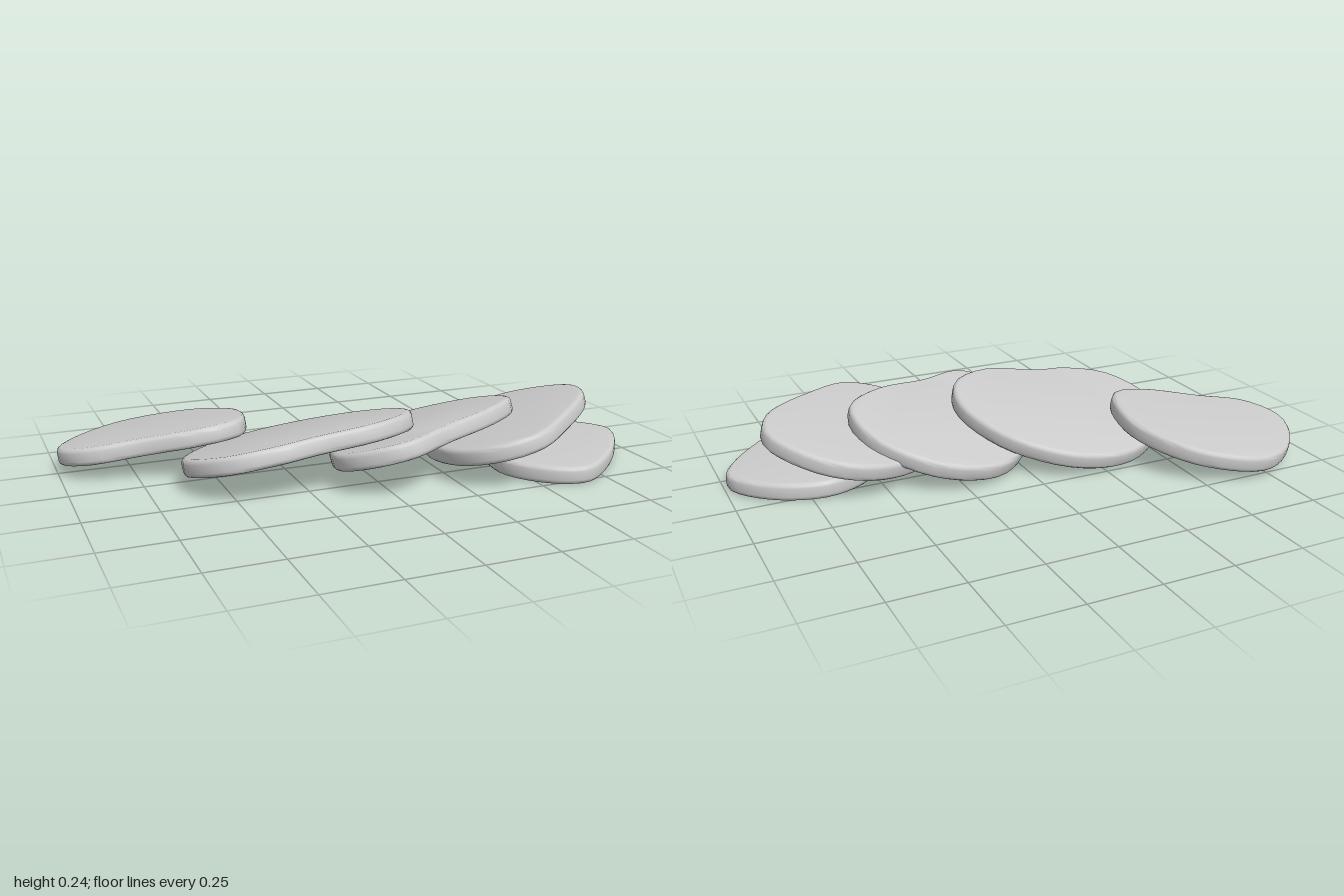
import * as THREE from 'three';
import { toCreasedNormals } from 'three/addons/utils/BufferGeometryUtils.js';

const THICKNESS = 0.062;
const BEVEL = 0.016;

// Rounded-edge slab with its top face at y = 0, smoothed through a few [x, z] points
function slabGeometry(outline) {
  const curve = new THREE.CatmullRomCurve3(
    outline.map(([x, z]) => new THREE.Vector3(x, -z, 0)), true);
  const points = curve.getSpacedPoints(44).slice(0, -1).map((p) => new THREE.Vector2(p.x, p.y));
  const geometry = new THREE.ExtrudeGeometry(new THREE.Shape(points), {
    depth: THICKNESS - 2 * BEVEL,
    bevelSize: BEVEL, bevelThickness: BEVEL, bevelOffset: -BEVEL, bevelSegments: 3,
  });
  geometry.translate(0, 0, BEVEL - THICKNESS);
  return geometry.rotateX(-Math.PI / 2);
}

// Slab laid on the plane y = height + slopeX * x + slopeZ * z, thickness along its normal
function makeSlice(name, material, height, slopeX, slopeZ, outline) {
  const tilt = new THREE.Matrix4().makeBasis(
    new THREE.Vector3(1, slopeX, 0),
    new THREE.Vector3(-slopeX, 1, -slopeZ).normalize(),
    new THREE.Vector3(0, slopeZ, 1));
  tilt.setPosition(0, height, 0);
  const geometry = slabGeometry(outline).applyMatrix4(tilt);
  const mesh = new THREE.Mesh(toCreasedNormals(geometry, 0.75), material);
  mesh.name = name;
  return mesh;
}

export function createModel() {
  const group = new THREE.Group();
  group.name = 'slices';
  const material = new THREE.MeshStandardMaterial({ color: 0xcccccc });

  // Rearmost slice, apart from the row
  group.add(makeSlice('backSlice', material, 0.256, 0.12, 0.145, [
    [-1, -0.25], [-0.9, -0.44], [-0.71, -0.547], [-0.47, -0.46], [-0.35, -0.24],
    [-0.41, -0.01], [-0.54, 0.01], [-0.75, -0.06], [-0.93, -0.12]]));

  // Overlapping slices leaning on one another
  group.add(makeSlice('secondSlice', material, 0.173, 0.12, 0.23, [
    [-0.64, 0.1], [-0.55, 0.28], [-0.38, 0.33], [-0.25, 0.32], [-0.05, 0.34], [0.11, 0.26],
    [0.163, 0.09], [0.07, -0.13], [-0.13, -0.26], [-0.35, -0.255], [-0.55, -0.11]]));
  group.add(makeSlice('middleSlice', material, 0.1, 0.18, 0.235, [
    [-0.17, 0.29], [-0.1, 0.41], [0.02, 0.46], [0.2, 0.38], [0.4, 0.31],
    [0.545, 0.18], [0.52, -0.03], [0.34, -0.18], [0.12, -0.18], [-0.07, 0]]));
  group.add(makeSlice('fourthSlice', material, 0.03, 0.22, 0.145, [
    [0.22, 0.38], [0.31, 0.5], [0.45, 0.53], [0.62, 0.425], [0.83, 0.22],
    [0.86, 0.07], [0.73, -0.09], [0.57, -0.13], [0.38, -0.06], [0.22, 0.14]]));

  // Slice lying flat under the end of the row
  group.add(makeSlice('flatSlice', material, 0.07, 0, 0, [
    [0.43, 0.37], [0.53, 0.5], [0.65, 0.54], [0.77, 0.47], [0.95, 0.27],
    [0.99, 0.16], [0.87, 0.015], [0.69, -0.04], [0.52, 0.04], [0.43, 0.23]]));
  return group;
}
